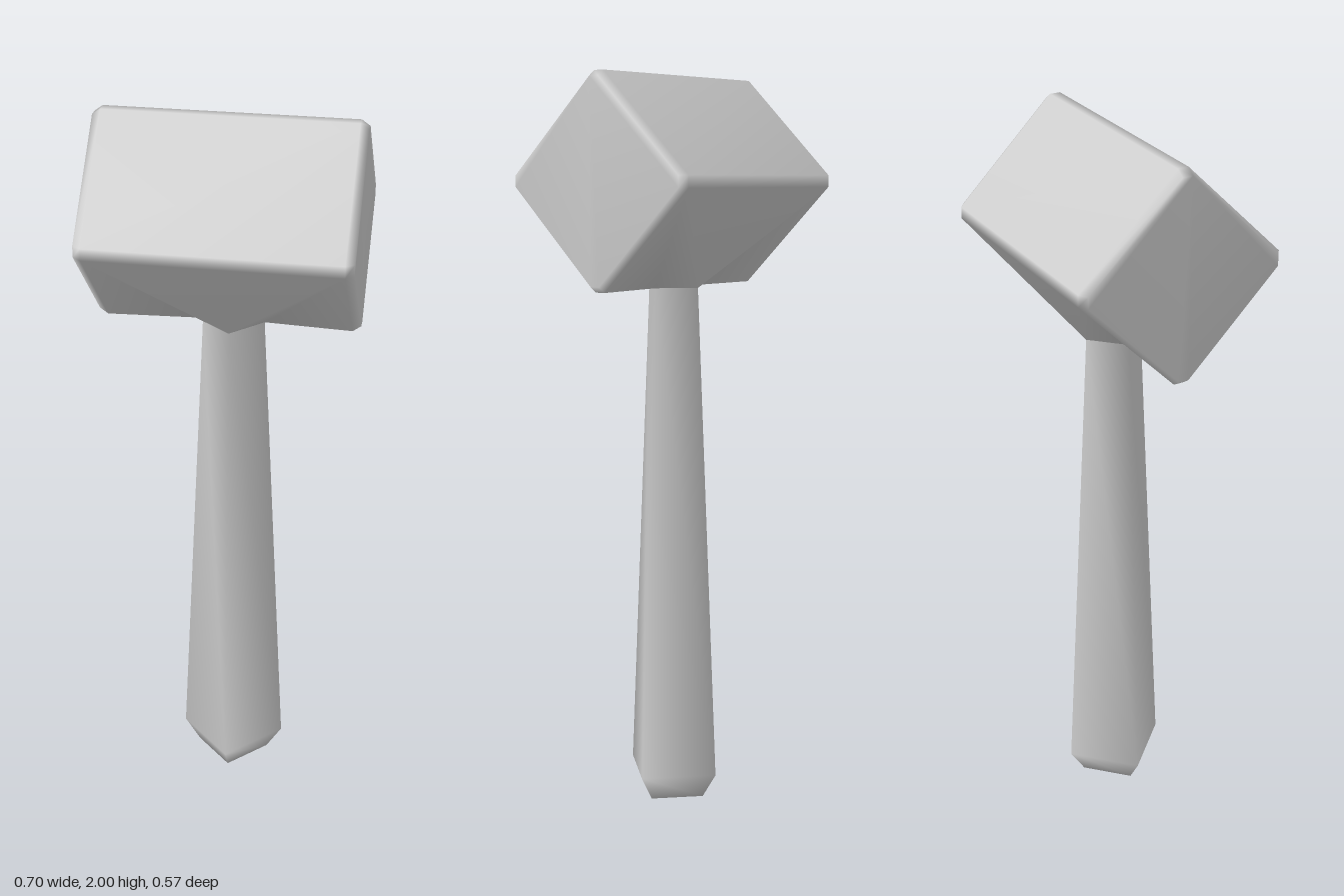
import * as THREE from 'three';

// Skins a list of equal-length rings; skip(section, side) leaves a side open.
function loft(rings, skip = () => false) {
  const n = rings[0].length;
  const tris = [];
  for (let s = 0; s < rings.length - 1; s++) {
    for (let i = 0; i < n; i++) {
      if (skip(s, i)) continue;
      const j = (i + 1) % n, a = s * n, b = a + n;
      tris.push(a + i, a + j, b + i, b + i, a + j, b + j);
    }
  }
  return tris;
}

// Flat end of a ring, facing along the loft or against it.
function cap(start, n, forward) {
  const tris = [];
  for (let i = 1; i < n - 1; i++) {
    if (forward) tris.push(start, start + i, start + i + 1);
    else tris.push(start, start + i + 1, start + i);
  }
  return tris;
}

function smoothMesh(name, points, tris, material) {
  const geometry = new THREE.BufferGeometry();
  geometry.setAttribute('position', new THREE.Float32BufferAttribute(points.flat(), 3));
  geometry.setIndex(tris);
  geometry.computeVertexNormals();
  const mesh = new THREE.Mesh(geometry, material);
  mesh.name = name;
  return mesh;
}

const NECK_Y = 1.433;
const AXIS_X = 0.01;

// Four-cornered ring with its corners on the x and z axes.
const diamond = (r, y) => [
  [AXIS_X, y, r], [AXIS_X + r, y, 0], [AXIS_X, y, -r], [AXIS_X - r, y, 0],
];

function createHandle(material) {
  const rings = [diamond(0.103, 0), diamond(0.147, 0.07), diamond(0.083, NECK_Y)];
  return smoothMesh('handle', rings.flat(), [...loft(rings), ...cap(0, 4, false)], material);
}

function createHead(material) {
  // Bevelled square standing on its corner, as [z, y]
  const section = [
    [0.015, 2], [0.284, 1.735], [0.284, 1.703], [0.015, NECK_Y],
    [-0.015, NECK_Y], [-0.284, 1.703], [-0.284, 1.735], [-0.015, 2],
  ];
  const midY = 1.717;
  const ring = (x, k) => section.map(([z, y]) => [x, midY + (y - midY) * k, z * k]);
  const rings = [ring(-0.35, 0.945), ring(-0.328, 1), ring(0.328, 1), ring(0.35, 0.945)];

  // The lower sides stay open here so that they can flow into the neck
  const tris = loft(rings, (s, i) => s === 1 && i >= 2 && i <= 4);
  tris.push(...cap(0, 8, false), ...cap(24, 8, true));

  // Neck corners: front 32, +x 33, back 34, -x 35
  const points = [...rings.flat(), ...diamond(0.083, NECK_Y)];
  const lowerSide = (topA, endA, neckA, neckMid, neckB, endB, topB) => tris.push(
    topA, endA, neckA, topA, neckA, neckMid, topA, neckMid, topB,
    topB, neckMid, neckB, topB, neckB, endB,
  );
  lowerSide(10, 11, 35, 32, 33, 19, 18);
  lowerSide(21, 20, 33, 34, 35, 12, 13);

  // Narrow bevel under the head on each side of the neck
  tris.push(19, 33, 20, 12, 35, 11);
  return smoothMesh('head', points, tris, material);
}

export function createModel() {
  const grey = new THREE.MeshStandardMaterial({ color: 0xcccccc });
  grey.name = 'light grey';
  const group = new THREE.Group();
  group.name = 'mallet';
  group.add(createHandle(grey), createHead(grey));
  return group;
}
